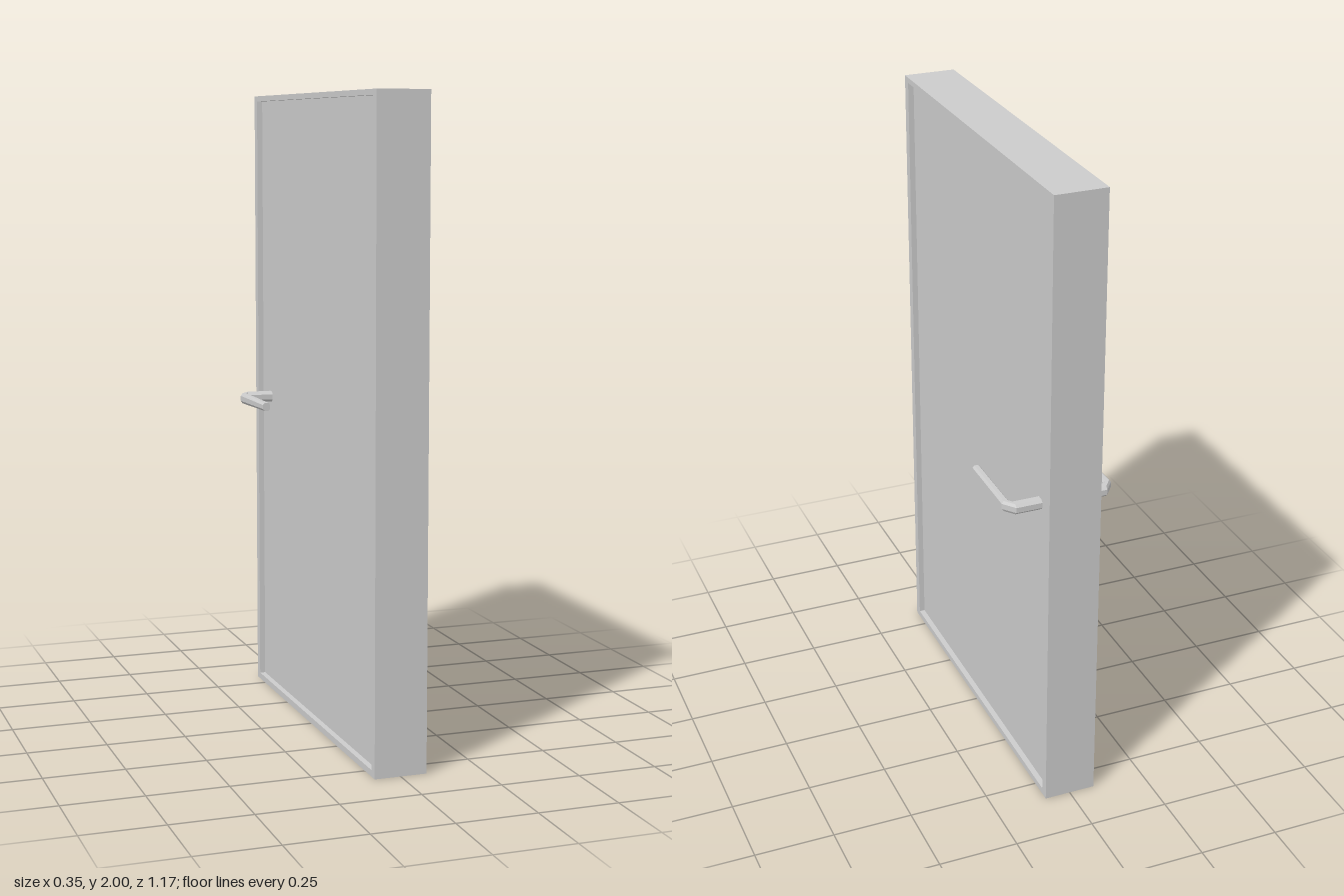
import * as THREE from 'three';

const grey = new THREE.MeshStandardMaterial({ color: 0xcccccc, flatShading: true });
const THICK = 0.164, HALF_W = 0.583, HEIGHT = 2;

function addMesh(parent, name, geometry) {
  const mesh = new THREE.Mesh(geometry, grey);
  mesh.name = name;
  parent.add(mesh);
  return mesh;
}

// Door handle lofted through chamfered sections; side is +1 (left) or -1 (right)
function handleGeometry(side) {
  // inner x, inner z, outer x, outer z, centre y, half height
  const rings = [
    [0.055, -0.453, 0.055, -0.49, 1.001, 0.017],
    [0.149, -0.453, 0.146, -0.49, 1.001, 0.017],
    [0.152, -0.449, 0.177, -0.45, 1.001, 0.017],
    [0.149, -0.21, 0.174, -0.21, 1.003, 0.013],
  ];
  const n = 8, c = 0.5;
  const section = [[1, c], [c, 1], [-c, 1], [-1, c], [-1, -c], [-c, -1], [c, -1], [1, -c]];
  const pos = [], index = [];
  const tri = (a, b, d) => index.push(...(side > 0 ? [a, b, d] : [a, d, b]));
  for (const [ix, iz, ox, oz, cy, h] of rings) {
    for (const [u, v] of section) {
      const t = (u + 1) / 2;
      pos.push(side * (ix + (ox - ix) * t), cy + v * h, iz + (oz - iz) * t);
    }
  }
  for (let r = 0; r < rings.length - 1; r++) {
    for (let i = 0; i < n; i++) {
      const a = r * n + i, b = r * n + (i + 1) % n;
      tri(a, b, a + n);
      tri(b, b + n, a + n);
    }
  }
  // end caps
  const last = (rings.length - 1) * n;
  for (let i = 1; i < n - 1; i++) {
    tri(0, i + 1, i);
    tri(last, last + i, last + i + 1);
  }
  const g = new THREE.BufferGeometry();
  g.setAttribute('position', new THREE.Float32BufferAttribute(pos, 3));
  g.setIndex(index);
  g.computeVertexNormals();
  return g;
}

function rectangle(path, w, y0, y1) {
  path.moveTo(-w, y0).lineTo(w, y0).lineTo(w, y1).lineTo(-w, y1).closePath();
  return path;
}

export function createModel() {
  const door = new THREE.Group();
  door.name = 'door';

  // Outer frame with a narrow raised rim
  const outline = rectangle(new THREE.Shape(), HALF_W, 0, HEIGHT);
  outline.holes.push(rectangle(new THREE.Path(), 0.555, 0.02, 1.983));
  const frame = new THREE.ExtrudeGeometry(outline, { depth: THICK, bevelEnabled: false });
  frame.translate(0, 0, -THICK / 2).rotateY(Math.PI / 2);
  addMesh(door, 'frame', frame);

  // Recessed door leaf
  const leaf = addMesh(door, 'doorLeaf', new THREE.BoxGeometry(0.128, 1.963, 1.11));
  leaf.position.y = (0.02 + 1.983) / 2;

  // A handle on each face
  addMesh(door, 'leftHandle', handleGeometry(1));
  addMesh(door, 'rightHandle', handleGeometry(-1));
  return door;
}
